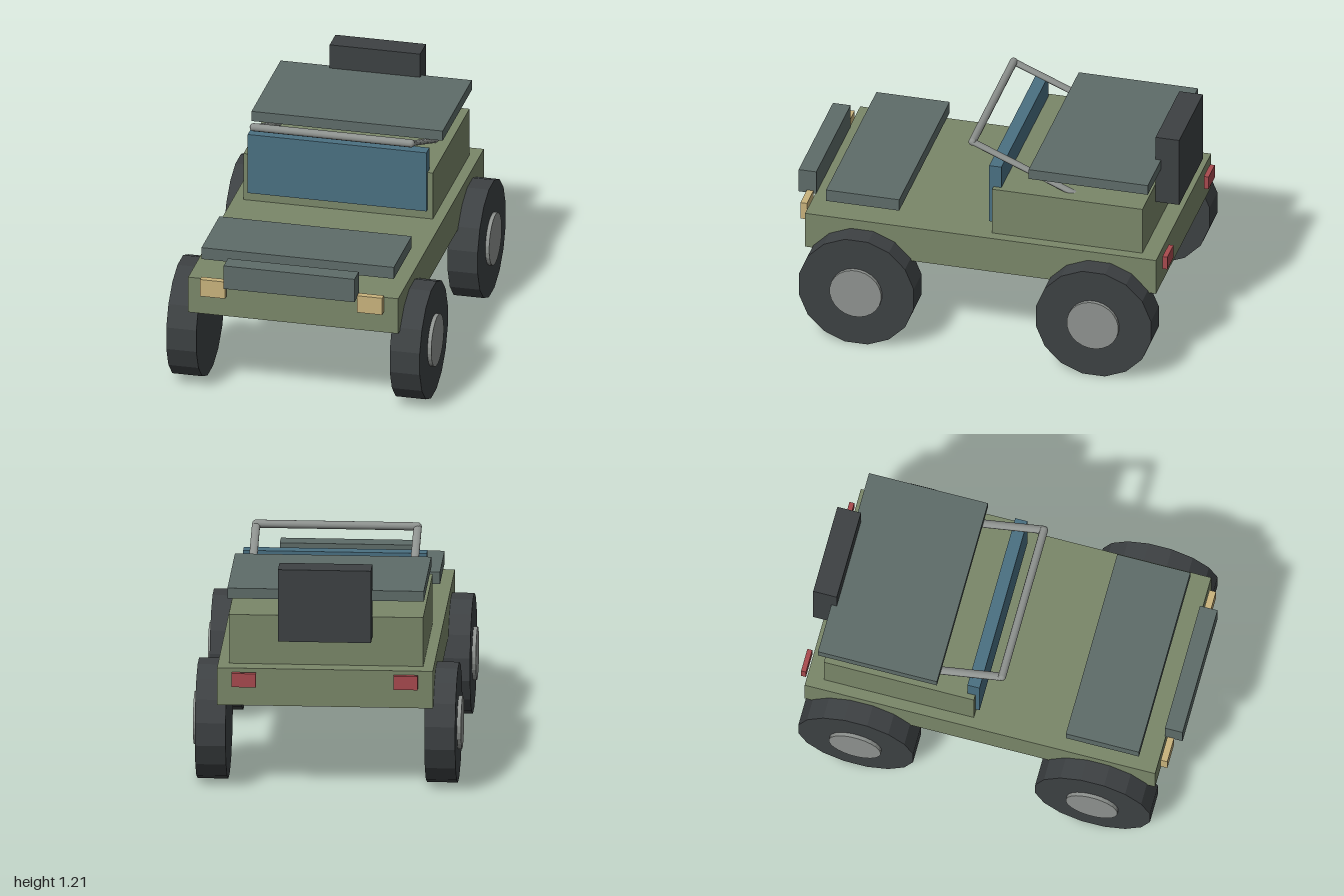
import * as THREE from 'three';

const paint = (name, color) => {
  const m = new THREE.MeshStandardMaterial({ color });
  m.name = name;
  return m;
};

export function createModel() {
  const model = new THREE.Group();
  model.name = 'offRoadCar';

  const body = paint('olive body', 0x7a8769);
  const panel = paint('grey green panel', 0x5e6c69);
  const glass = paint('blue glass', 0x4a7082);
  const rubber = paint('dark rubber', 0x3d4143);
  const metal = paint('light metal', 0x8e928f);
  const headlamp = paint('warm headlamp', 0xc9b37c);
  const tailLamp = paint('red tail lamp', 0xa84a4e);

  const add = (name, geometry, material, parent = model) => {
    const mesh = new THREE.Mesh(geometry, material);
    mesh.name = name;
    parent.add(mesh);
    return mesh;
  };

  // Box given by its lower and upper limits on each axis
  const box = (name, material, [x0, x1], [y0, y1], [z0, z1]) =>
    add(name, new THREE.BoxGeometry(x1 - x0, y1 - y0, z1 - z0), material)
      .position.set((x0 + x1) / 2, (y0 + y1) / 2, (z0 + z1) / 2);

  // Faceted cylinder along x, with a flat at the bottom
  const disc = (radius, width, sides) => {
    const g = new THREE.CylinderGeometry(radius, radius, width, sides, 1, false, Math.PI / sides)
      .rotateZ(Math.PI / 2).toNonIndexed();
    g.computeVertexNormals();
    return g;
  };

  // Body shell and panels
  box('chassis', body, [-0.557, 0.557], [0.467, 0.666], [-0.96, 0.91]);
  box('cabin', body, [-0.502, 0.502], [0.666, 0.928], [-0.873, -0.072]);
  box('roofPanel', panel, [-0.507, 0.507], [1.023, 1.078], [-0.903, -0.268]);
  box('hoodPanel', panel, [-0.51, 0.51], [0.729, 0.794], [0.421, 0.811]);
  box('frontBumper', panel, [-0.347, 0.347], [0.664, 0.794], [0.906, 1]);
  box('windshield', glass, [-0.474, 0.474], [0.717, 1.05], [-0.114, -0.049]);
  box('spareCarrier', rubber, [-0.24, 0.24], [0.824, 1.21], [-1, -0.874]);

  // Lamps, wheels and hubs, mirrored left and right
  for (const [side, s] of [['left', 1], ['right', -1]]) {
    const span = (a, b) => (s > 0 ? [a, b] : [-b, -a]);
    box(side + 'Headlamp', headlamp, span(0.35, 0.483), [0.586, 0.681], [0.92, 0.955]);
    box(side + 'TailLamp', tailLamp, span(0.355, 0.48), [0.575, 0.648], [-1, -0.974]);

    for (const [end, z] of [['Front', 0.607], ['Rear', -0.657]]) {
      const wheel = new THREE.Group();
      wheel.name = side + end + 'Wheel';
      wheel.position.set(0, 0.307, z);
      model.add(wheel);
      add('tyre', disc(0.312, 0.159, 16), rubber, wheel).position.x = s * 0.5925;
      add('hub', disc(0.138, 0.1, 24), metal, wheel).position.x = s * 0.642;
    }
  }

  // Sloping roll bar: two flattened side tubes, a cross tube and corner joints
  const rollBar = new THREE.Group();
  rollBar.name = 'rollBar';
  model.add(rollBar);
  const top = new THREE.Vector3(0, 1.145, 0.055);
  const foot = new THREE.Vector3(0, 0.91, -0.505);
  const slope = foot.clone().sub(top);
  for (const s of [-1, 1]) {
    const tube = add('sideTube', new THREE.CylinderGeometry(0.022, 0.022, slope.length(), 10), metal, rollBar);
    tube.scale.z = 0.65;
    tube.rotation.x = Math.atan2(slope.z, slope.y);
    tube.position.copy(top).lerp(foot, 0.5).setX(s * 0.417);
    const joint = add('cornerJoint', new THREE.SphereGeometry(0.021, 10, 8), metal, rollBar);
    joint.position.copy(top).setX(s * 0.417);
  }
  const cross = add('crossTube', new THREE.CylinderGeometry(0.021, 0.021, 0.834, 10), metal, rollBar);
  cross.rotation.z = Math.PI / 2;
  cross.position.copy(top);

  return model;
}
